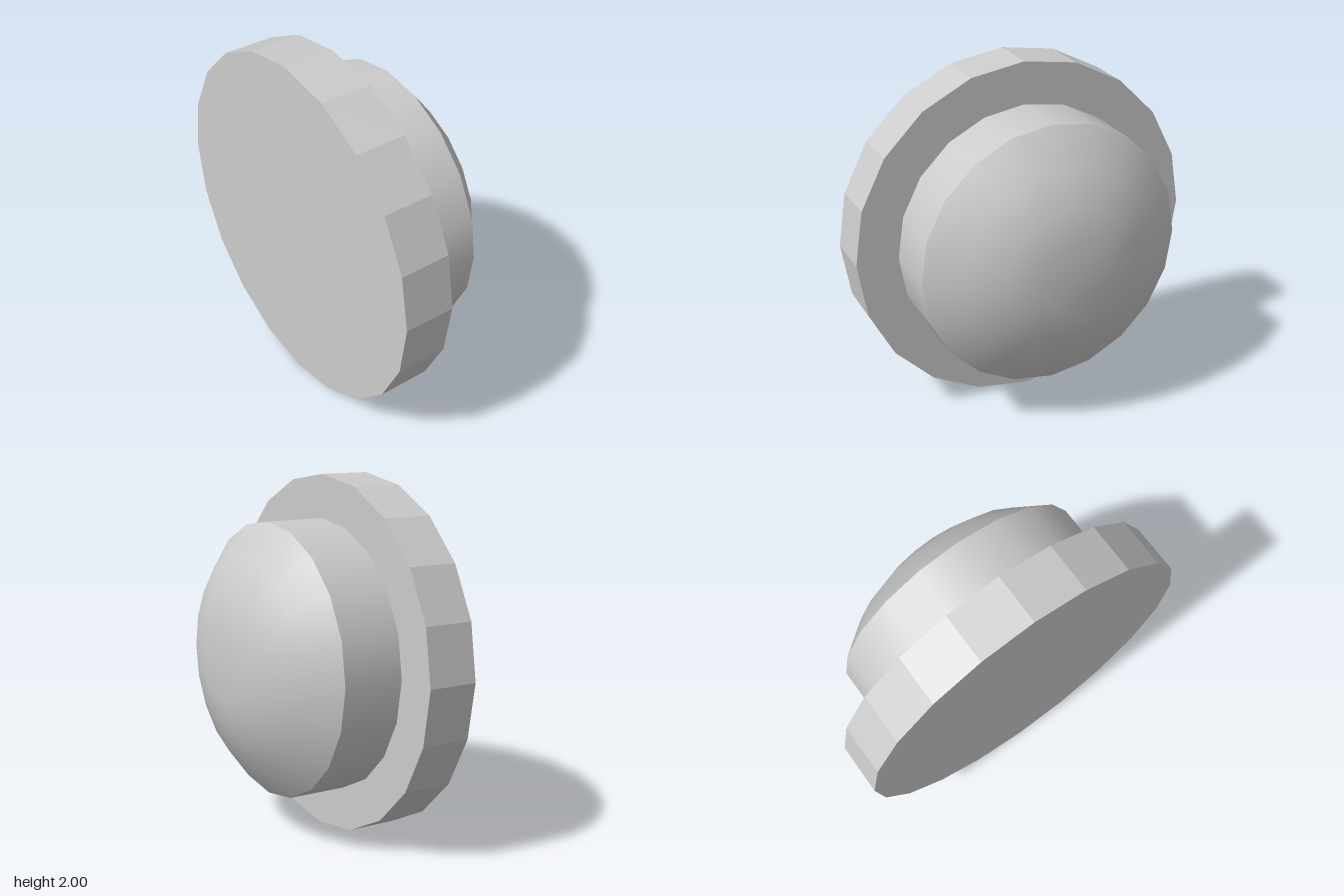
import * as THREE from 'three';

const SIDES = 20;

export function createModel() {
  const model = new THREE.Group();
  const smooth = new THREE.MeshStandardMaterial({ color: 0xcccccc });
  const faceted = new THREE.MeshStandardMaterial({ color: 0xcccccc, flatShading: true });

  // Everything is turned about one axis, built along y and laid towards +x
  const body = new THREE.Group();
  body.name = 'button';
  body.rotation.z = -Math.PI / 2;
  body.position.y = 1;
  model.add(body);

  const add = (name, geometry, material, along = 0) => {
    const mesh = new THREE.Mesh(geometry, material);
    mesh.name = name;
    mesh.position.y = along;
    body.add(mesh);
  };

  // Wide faceted disc at the back
  add('flange', new THREE.CylinderGeometry(1, 1, 0.285, SIDES), faceted, -0.315);

  // Smooth collar between flange and dome
  add('collar', new THREE.CylinderGeometry(0.76, 0.76, 0.345, SIDES, 1, true), smooth);

  // Shallow dome with a nearly flat crown: [radius, position along axis]
  const profile = [[0.76, 0.1725], [0.57, 0.325], [0.38, 0.412], [0.2, 0.457], [0, 0.457]];
  add('dome', new THREE.LatheGeometry(profile.map(([r, h]) => new THREE.Vector2(r, h)), SIDES), smooth);

  return model;
}
